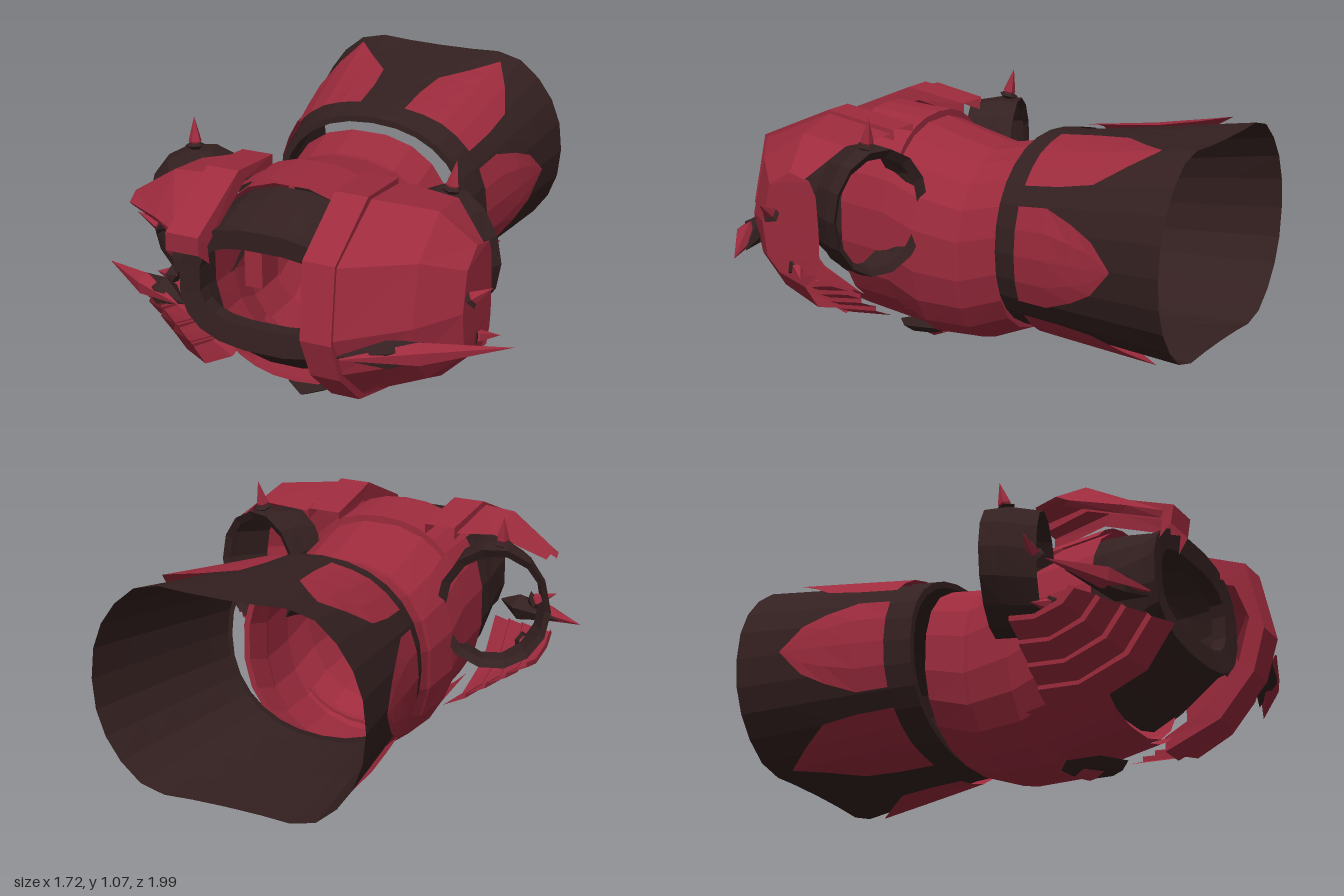
import * as THREE from 'three';

const CX = -0.08; // axis of the torso
const mat = (name, color) => {
  const m = new THREE.MeshStandardMaterial({ color, side: THREE.DoubleSide, flatShading: true });
  m.name = name;
  return m;
};
const V = (x, y, z) => new THREE.Vector3(x, y, z);

export function createModel() {
  const model = new THREE.Group();
  const red = mat('crimson plate', 0x9d2b3d), dark = mat('dark leather', 0x342020);

  const add = (name, geo, m) => {
    const mesh = new THREE.Mesh(geo, m);
    mesh.name = name;
    model.add(mesh);
    return mesh;
  };
  // Surface through rows of points, each row of equal length
  const loft = (name, rows, m, closed = false) => {
    const n = rows[0].length, idx = [];
    for (let i = 0; i < rows.length - 1; i++)
      for (let j = 0; j < (closed ? n : n - 1); j++) {
        const a = i * n + j, b = i * n + (j + 1) % n;
        idx.push(a, b, a + n, b, b + n, a + n);
      }
    const g = new THREE.BufferGeometry().setFromPoints(rows.flat());
    g.setIndex(idx);
    g.computeVertexNormals();
    return add(name, g, m);
  };
  // Point on a rounded-square cross-section
  const oval = (a, hw, y0, y1, z, e = 2.3) => {
    const c = Math.cos(a), s = Math.sin(a), p = 2 / e;
    return V(CX + hw * Math.sign(c) * Math.abs(c) ** p,
      (y0 + y1) / 2 + (y1 - y0) / 2 * Math.sign(s) * Math.abs(s) ** p, z);
  };
  const ring = (hw, y0, y1, z, e, n = 20) =>
    Array.from({ length: n }, (_, i) => oval((i + 0.5) / n * Math.PI * 2, hw, y0, y1, z, e));
  // Long gem-like spike: root, waist, tip
  const spike = (name, a, b, r, waist, m = red) => {
    const len = a.distanceTo(b);
    const g = new THREE.LatheGeometry([[0.004, 0], [r, len * waist], [0, len]]
      .map(p => new THREE.Vector2(...p)), 5);
    const s = add(name, g, m);
    s.position.copy(a);
    s.quaternion.setFromUnitVectors(V(0, 1, 0), b.clone().sub(a).normalize());
    return s;
  };

  // Flared skirt whose hem dips at top and bottom
  const skirtPoint = (a, z, off = 0) => {
    const t = (-0.23 - z) / 0.77;
    const p = oval(a, 0.43 + 0.145 * t ** 0.9 + off, 0.185 - 0.05 * t - off, 0.965 + 0.145 * t + off, z, 2.2);
    const dip = 0.08 * t * Math.max(0, Math.abs(Math.sin(a)) - 0.85) / 0.15;
    p.y -= Math.sign(Math.sin(a)) * dip;
    return p;
  };
  const skirtRing = (z, off) => Array.from({ length: 28 }, (_, i) => skirtPoint(i / 28 * Math.PI * 2, z, off));
  loft('skirt', [-0.23, -0.33, -0.6, -0.8, -1].map(z => skirtRing(z, 0)), dark, true);
  loft('skirtBand', [skirtRing(-0.23, -0.02), skirtRing(-0.23, 0.006), skirtRing(-0.32, 0.006)], dark, true);

  // Pointed plates around the skirt
  [0, 58, 122, 180, 238, 302].forEach(deg => {
    const side = deg % 180 === 0, a0 = deg * Math.PI / 180;
    const end = side ? -0.79 : -0.88, w0 = side ? 0.43 : 0.38;
    const rows = [[0, 1], [0.3, 1], [0.58, side ? 0.72 : 0.92], [0.8, 0.45], [1, 0.01]].map(([t, w]) =>
      [-1, -0.5, 0, 0.5, 1].map(k =>
        skirtPoint(a0 + k * w * w0, -0.335 + t * (end + 0.335), 0.018)));
    loft('skirtPlate', rows, red);
  });

  // Torso shell
  loft('torso', [
    ring(0.375, 0.15, 0.92, -0.2), ring(0.37, 0.075, 0.885, -0.02), ring(0.375, 0.075, 0.885, 0),
    ring(0.385, 0.065, 0.93, 0.19), ring(0.37, 0.13, 0.97, 0.34), ring(0.36, 0.15, 0.985, 0.55)
  ], red, true);
  loft('waistRim', [ring(0.35, 0.17, 0.9, -0.2), ring(0.375, 0.15, 0.92, -0.2)], red, true);

  // Raised bands over the back and the chest
  const band = (mid, z, y0, y1) => Array.from({ length: 9 }, (_, j) =>
    oval(mid + (j - 4) * 0.2, 0.39, y0, y1, z));
  loft('backBand', [band(Math.PI / 2, 0.3, 0.1, 0.95), band(Math.PI / 2, 0.3, 0.1, 0.985),
    band(Math.PI / 2, 0.55, 0.1, 1)], red);
  loft('chestBand', [band(-Math.PI / 2, 0.2, 0.1, 0.95), band(-Math.PI / 2, 0.2, 0.085, 0.95),
    band(-Math.PI / 2, 0.55, 0.135, 1)], red);

  // Neck collar
  loft('collar', [
    ring(0.355, 0.19, 0.96, 0.52), ring(0.36, 0.24, 0.945, 0.62),
    ring(0.35, 0.36, 0.91, 0.77), ring(0.35, 0.39, 0.9, 0.82, 2.6),
    ring(0.268, 0.49, 0.815, 0.81, 3), ring(0.268, 0.49, 0.815, 0.75, 3)
  ], dark, true);

  // Inner side plates
  [[-0.27, 0.075], [0.12, 0.09]].forEach(([x, w]) => {
    add('innerPlate', new THREE.BoxGeometry(w, 0.29, 0.14), red).position.set(x, 0.64, 0.44);
  });

  // Open sleeve bands around the arm holes
  [1, -1].forEach(s => {
    const slv = (xi, zi, xo, zo, y0, y1) => Array.from({ length: 14 }, (_, j) => {
      const a = j / 14 * Math.PI * 2, k = (1 + Math.cos(a)) / 2, x = xi + (xo - xi) * k;
      return V(s > 0 ? x : 2 * CX - x, (y0 + y1) / 2 + (y1 - y0) / 2 * Math.sin(a), zi + (zo - zi) * k);
    });
    loft('sleeve', [
      slv(0.27, 0.18, 0.65, 0.31, 0.46, 0.91), slv(0.24, 0.15, 0.68, 0.3, 0.43, 0.945),
      slv(0.23, 0.25, 0.65, 0.36, 0.42, 0.95), slv(0.2, 0.35, 0.56, 0.48, 0.42, 0.93)
    ], dark, true);
  });

  // Small spikes with dark sockets: root, tip
  [[0.465, 0.93, 0.29, 0.48, 1.07, 0.265], [0.65, 0.67, 0.61, 0.755, 0.74, 0.6],
    [0.63, 0.475, 0.52, 0.73, 0.455, 0.43], [-0.625, 0.93, 0.29, -0.64, 1.07, 0.265],
    [-0.68, 0.655, 0.46, -0.8, 0.71, 0.47], [-0.62, 0.475, 0.5, -0.73, 0.455, 0.46]
  ].forEach(([x, y, z, x2, y2, z2]) => {
    const a = V(x, y, z), b = V(x2, y2, z2);
    spike('shoulderSpike', a, b, 0.027, 0.3);
    spike('spikeSocket', a, a.clone().lerp(b, 0.35), 0.042, 0.5, dark);
  });

  // Full left pauldron: arcs of (z, y) stepping outward, closed at the rear
  const arc = (x, pts, lean = 0) => pts.map(([z, y], i) => V(x + lean * i, y, z));
  const inner = [[0.3, 0.96], [0.6, 1.01], [0.92, 0.87], [0.98, 0.6], [0.92, 0.43], [0.76, 0.27], [0.52, 0.19]];
  const middle = [[0.35, 0.955], [0.55, 0.985], [0.75, 0.86], [0.81, 0.62], [0.77, 0.46], [0.66, 0.34], [0.5, 0.27]];
  const outer = [[0.45, 0.84], [0.52, 0.86], [0.62, 0.8], [0.66, 0.64], [0.64, 0.5], [0.58, 0.44], [0.46, 0.4]];
  const rear = [[0.44, 0.84], [0.42, 0.84], [0.39, 0.78], [0.38, 0.64], [0.38, 0.52], [0.39, 0.46], [0.42, 0.4]];
  const grow = (pts, d) => pts.map(([z, y]) => [z + d * (z > 0.55 ? 1 : 0), y + d * (y > 0.6 ? 1 : -1)]);
  loft('leftPauldron', [arc(0.27, inner), arc(0.52, middle), arc(0.66, outer), arc(0.67, rear)], red);
  const strap = grow(inner, 0.012);
  loft('leftStrap', [arc(0.115, grow(inner, -0.05), 0.013), arc(0.115, strap, 0.013),
    arc(0.255, strap, 0.008), arc(0.255, grow(inner, -0.03), 0.008)], red);

  // Open right pauldron: an upper plate and a short strap
  loft('rightPauldron', [
    arc(-0.42, [[0.3, 0.96], [0.6, 1.0], [0.87, 0.87], [0.86, 0.84]]),
    arc(-0.55, [[0.38, 0.95], [0.6, 0.99], [0.77, 0.86], [0.75, 0.83]]),
    arc(-0.74, [[0.49, 0.84], [0.58, 0.86], [0.63, 0.83], [0.61, 0.81]])
  ], red);
  const shortStrap = [[0.3, 0.98], [0.58, 1.02], [0.91, 0.88], [0.9, 0.8]];
  loft('rightStrap', [arc(-0.28, grow(shortStrap, -0.05)), arc(-0.28, shortStrap, -0.006),
    arc(-0.41, shortStrap, -0.009), arc(-0.41, grow(shortStrap, -0.05), -0.009)], red);

  // Overlapping bands cupping each shoulder from below
  const lowIn = [[0.86, 0.42], [0.74, 0.26], [0.52, 0.18], [0.32, 0.2]];
  const lowOut = [[0.62, 0.49], [0.57, 0.44], [0.47, 0.41], [0.36, 0.43]];
  const lame = (x0, x1, t, lip) => lowIn.map(([z, y], i) => V(x0 + (x1 - x0) * t,
    y + (lowOut[i][1] - y) * t - lip, z + (lowOut[i][0] - z) * t + (i < 2 ? lip : 0)));
  [[0.27, 0.62], [-0.38, -0.72]].forEach(([x0, x1]) => {
    for (let i = 0; i < 4; i++)
      loft('shoulderLame', [lame(x0, x1, i / 4 - 0.03, 0.002), lame(x0, x1, (i + 1) / 4, 0.022),
        lame(x0, x1, (i + 1) / 4, 0)], red);
  });

  // Great side spikes on long dark mounts
  [[V(0.3, 0.53, 0.97), V(0.86, 0.54, 0.65), 0.02], [V(-0.45, 0.53, 0.81), V(-0.86, 0.54, 0.6), -0.02]]
    .forEach(([a, b, dx]) => {
      const shift = V(-dx, -0.005, -0.02);
      spike('sideSpike', a, b, 0.045, 0.45);
      spike('sideSpikeMount', a.clone().add(shift), a.clone().lerp(b, 0.8).add(shift), 0.058, 0.35, dark);
    });

  // Emblem below the chest
  const badge = add('chestBadge', new THREE.CylinderGeometry(0.12, 0.08, 0.03, 6), dark);
  badge.position.set(CX, 0.045, 0.35);
  badge.scale.set(0.85, 1, 1.25);
  badge.rotation.x = 0.08;
  const gem = add('chestGem', new THREE.OctahedronGeometry(0.06), red);
  gem.position.set(CX, 0.03, 0.33);
  gem.scale.set(0.9, 0.5, 1.2);
  return model;
}
